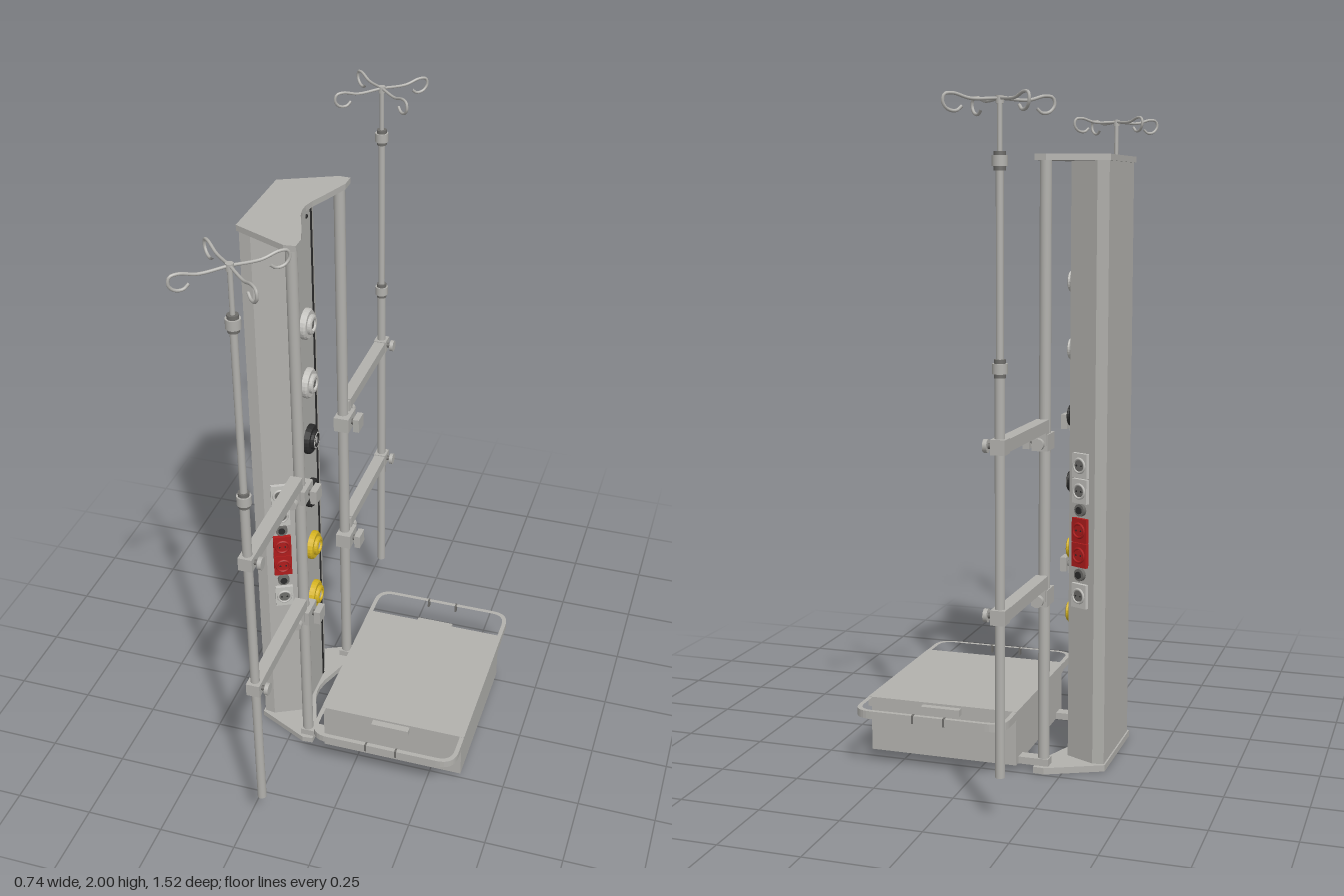
import * as THREE from 'three';

const mat = (name, color) => Object.assign(new THREE.MeshStandardMaterial({ color }), { name });

export function createModel() {
  const root = new THREE.Group();
  root.name = 'medicalSupplyColumn';
  const grey = mat('bodyGrey', 0xb2b1ad), pale = mat('socketGrey', 0xc4c3bf);
  const black = mat('black', 0x2b2b2b), red = mat('red', 0xb01c1c), yellow = mat('yellow', 0xd6b420);
  const steel = mat('darkGrey', 0x6e6d6a);

  const add = (parent, name, geo, m, x = 0, y = 0, z = 0) => {
    const mesh = new THREE.Mesh(geo, m);
    mesh.name = name;
    mesh.position.set(x, y, z);
    parent.add(mesh);
    return mesh;
  };
  const box = (p, name, m, w, h, d, x, y, z) => add(p, name, new THREE.BoxGeometry(w, h, d), m, x, y, z);
  // cylinder along 'x', 'y' or 'z'
  const cyl = (p, name, m, r, len, x, y, z, axis = 'y', seg = 20) => {
    const g = new THREE.CylinderGeometry(r, r, len, seg);
    if (axis === 'x') g.rotateZ(-Math.PI / 2);
    if (axis === 'z') g.rotateX(Math.PI / 2);
    return add(p, name, g, m, x, y, z);
  };
  // upright prism from a plan outline
  const extrudeUp = (shape, h) => new THREE.ExtrudeGeometry(shape, { depth: h, bevelEnabled: false, curveSegments: 8 }).rotateX(-Math.PI / 2);
  const mirrored = half => {
    const pts = [...half, ...half.map(([x, z]) => [x, -z]).reverse()];
    return new THREE.Shape(pts.map(([x, z]) => new THREE.Vector2(x, -z)));
  };

  // Column and its end plates
  const column = new THREE.Group();
  column.name = 'column';
  root.add(column);
  add(column, 'columnBody', extrudeUp(mirrored([[-0.365, 0.155], [-0.33, 0.16], [-0.24, 0.115], [-0.235, 0.075]]), 1.82), grey, 0, 0.02, 0);
  const plate = mirrored([[-0.37, 0.162], [-0.2, 0.243], [-0.165, 0.24], [-0.165, 0.195], [-0.195, 0.11], [-0.218, 0.05], [-0.226, 0.015]]);
  add(column, 'basePlate', extrudeUp(plate, 0.02), grey, 0, 0, 0);
  add(column, 'topPlate', extrudeUp(plate, 0.018), grey, 0, 1.837, 0);
  box(column, 'label', steel, 0.004, 0.01, 0.025, -0.234, 1.81, 0.052);
  cyl(column, 'indicator', black, 0.006, 0.005, -0.234, 1.81, -0.04, 'x', 12);

  // Front gas outlets
  const outletProfile = [[0, 0], [0.048, 0], [0.048, 0.012], [0.043, 0.018], [0.031, 0.018], [0.031, 0.027], [0.026, 0.03], [0.019, 0.03], [0.019, 0.02], [0, 0.02]]
    .map(([r, h]) => new THREE.Vector2(r, h));
  [[1.48, pale], [1.275, pale], [1.07, black], [0.865, black], [0.655, yellow], [0.45, yellow]].forEach(([y, m]) => {
    const g = new THREE.LatheGeometry(outletProfile, 24).toNonIndexed();
    g.computeVertexNormals();
    add(column, 'gasOutlet', g.rotateZ(-Math.PI / 2), m, -0.235, y, 0);
    cyl(column, 'outletCore', m === pale ? steel : pale, 0.013, 0.026, -0.222, y, 0, 'x', 16);
    if (m === black) {
      const ring = new THREE.TorusGeometry(0.025, 0.003, 6, 24).rotateY(Math.PI / 2);
      add(column, 'outletRing', ring, pale, -0.207, y, 0);
    }
  });

  // Electrical outlets on one slanted face
  const sidePanel = side => {
    const p = new THREE.Group();
    p.name = 'sideOutlets';
    p.position.set(-0.285, 0, 0.137 * side);
    p.rotation.y = side > 0 ? 0.464 : Math.PI - 0.464;
    const socket = (y, m) => {
      box(p, 'socketPlate', m, 0.057, 0.074, 0.012, 0, y, 0.007);
      add(p, 'socketRim', new THREE.TorusGeometry(0.021, 0.004, 6, 20), m, 0, y, 0.014);
      cyl(p, 'socketWell', m === red ? red : steel, 0.017, 0.003, 0, y, 0.0135, 'z', 16);
      [-1, 1].forEach(s => cyl(p, 'socketHole', black, 0.003, 0.004, s * 0.009, y, 0.0138, 'z', 8));
    };
    [0.94, 0.862, 0.54].forEach(y => socket(y, pale));
    [0.742, 0.666].forEach(y => socket(y, red));
    [0.804, 0.605].forEach(y => {
      cyl(p, 'groundPin', steel, 0.019, 0.012, 0, y, 0.007, 'z', 16);
      cyl(p, 'groundPinCore', black, 0.011, 0.018, 0, y, 0.008, 'z', 12);
    });
    root.add(p);
  };

  // Hook wire, drawn as distance outwards and height
  const hook = [[0, 1.985], [0.06, 1.982], [0.095, 1.994], [0.112, 1.99], [0.115, 1.97], [0.105, 1.953], [0.088, 1.95], [0.077, 1.962]];
  const X = -0.19;

  [1, -1].forEach(side => {
    const zr = side * 0.21, zp = side * 0.64;
    // Groove and rail
    box(column, 'groove', black, 0.006, 1.81, 0.009, -0.235, 0.93, side * 0.077);
    cyl(root, 'rail', grey, 0.0175, 1.82, X, 0.93, zr);
    sidePanel(side);

    // Infusion pole
    const pole = new THREE.Group();
    pole.name = 'infusionPole';
    root.add(pole);
    cyl(pole, 'lowerPole', grey, 0.014, 1.14, X, 0.71, zp);
    cyl(pole, 'upperPole', grey, 0.0105, 0.54, X, 1.55, zp);
    cyl(pole, 'poleTip', grey, 0.007, 0.17, X, 1.903, zp);
    [1.28, 1.825].forEach(y => {
      cyl(pole, 'poleCollar', grey, 0.021, 0.028, X, y, zp);
      cyl(pole, 'collarBand', steel, 0.016, 0.05, X, y, zp);
    });
    cyl(pole, 'hookHub', grey, 0.011, 0.02, X, 1.982, zp);
    [[1, 1], [1, -1], [-1, 1], [-1, -1]].forEach(([sx, sz]) => {
      const curve = new THREE.CatmullRomCurve3(hook.map(([s, y]) => new THREE.Vector3(sx * s, y, sz * s)));
      add(pole, 'hook', new THREE.TubeGeometry(curve, 32, 0.0045, 8), grey, X, 0, zp);
    });

    // Two arms from rail to pole
    [1.07, 0.6].forEach(y => {
      const arm = new THREE.Group();
      arm.name = 'poleArm';
      root.add(arm);
      box(arm, 'armBar', grey, 0.038, 0.036, 0.39, X, y, side * 0.43);
      box(arm, 'poleJoint', grey, 0.042, 0.042, 0.046, X, y, zp);
      cyl(arm, 'jointStem', steel, 0.008, 0.016, -0.164, y, zp, 'x');
      cyl(arm, 'jointKnob', grey, 0.019, 0.012, -0.151, y, zp, 'x');
      box(arm, 'armBracket', grey, 0.034, 0.07, 0.03, X, y - 0.022, side * 0.243);
      box(arm, 'railClamp', grey, 0.05, 0.05, 0.075, X + 0.005, y - 0.05, side * 0.212);
      cyl(arm, 'clampStem', steel, 0.009, 0.02, -0.155, y - 0.05, zr, 'x');
      box(arm, 'clampKnob', grey, 0.02, 0.046, 0.05, -0.138, y - 0.05, zr);
      cyl(arm, 'sideStem', steel, 0.007, 0.03, X, y - 0.05, side * 0.262, 'z');
      cyl(arm, 'sideKnob', grey, 0.018, 0.018, X, y - 0.05, side * 0.282, 'z');
    });

    // Tray handle loop
    const handle = new THREE.Shape(), hole = new THREE.Path();
    const loop = (p, a, b, w, r) => {
      p.moveTo(a, 0.255).lineTo(a, w - r).quadraticCurveTo(a, w, a + r, w)
        .lineTo(b - r, w).quadraticCurveTo(b, w, b, w - r).lineTo(b, 0.255).lineTo(a, 0.255);
    };
    loop(handle, -0.12, 0.365, 0.388, 0.06);
    loop(hole, -0.106, 0.351, 0.374, 0.048);
    hole.curves.forEach(c => ['v0', 'v1', 'v2'].forEach(k => { if (c[k] && c[k].y < 0.26) c[k].y = 0.262; }));
    handle.holes.push(hole);
    const g = extrudeUp(handle, 0.024);
    if (side > 0) g.rotateX(Math.PI).translate(0, 0.024, 0);
    add(root, 'trayHandle', g, grey, 0, 0.17, 0);
    [0.07, 0.17].forEach(x => box(root, 'handleBand', steel, 0.006, 0.026, 0.016, x, 0.182, side * 0.381));
    box(root, 'sideGrip', grey, 0.125, 0.02, 0.024, 0.12, 0.178, side * 0.272);
    // Link from base plate to tray
    box(root, 'trayBracket', grey, 0.11, 0.022, 0.04, -0.155, 0.032, zr);
  });

  // Drawer tray
  const tray = new THREE.Group();
  tray.name = 'drawerTray';
  root.add(tray);
  box(tray, 'drawerBox', grey, 0.472, 0.145, 0.51, 0.12, 0.0955, 0);
  box(tray, 'trayTop', grey, 0.485, 0.03, 0.524, 0.1225, 0.18, 0);
  const grip = new THREE.Shape([[-0.115, 0.165], [-0.115, 0.15], [-0.09, 0.13], [0.09, 0.13], [0.115, 0.15], [0.115, 0.165]].map(p => new THREE.Vector2(...p)));
  add(tray, 'drawerGrip', new THREE.ExtrudeGeometry(grip, { depth: 0.006, bevelEnabled: false }).rotateY(Math.PI / 2), grey, 0.356, 0, 0);

  return root;
}
